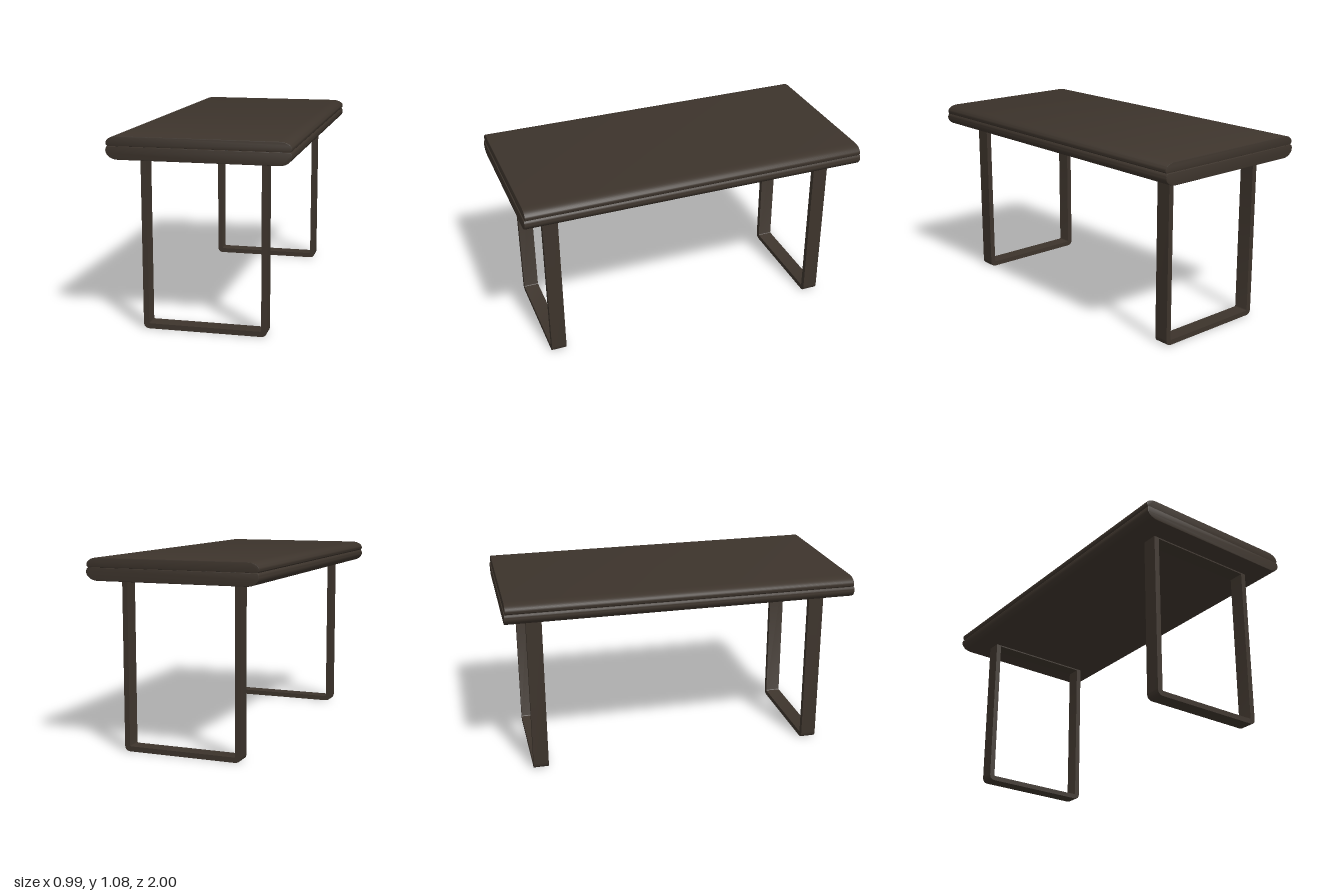
import * as THREE from 'three';
import { toCreasedNormals } from 'three/addons/utils/BufferGeometryUtils.js';

const darkWood = new THREE.MeshStandardMaterial({ color: 0x3d342c });
darkWood.name = 'darkWood';

// Extrude an outline along z, centred on z
function extruded(name, shape, length, z, bevel) {
  const geometry = new THREE.ExtrudeGeometry(shape, {
    depth: length - 2 * bevel, curveSegments: 10,
    bevelEnabled: bevel > 0, bevelSize: bevel, bevelThickness: bevel,
    bevelOffset: -bevel, bevelSegments: 2,
  });
  geometry.translate(0, 0, z - length / 2 + bevel);
  const mesh = new THREE.Mesh(toCreasedNormals(geometry, 0.6), darkWood);
  mesh.name = name;
  return mesh;
}

// Slab outline: flat face at yFlat, bulging sides widest at yWide, seam at ySeam
function slabShape(yFlat, yWide, ySeam) {
  const flat = 0.425, wide = 0.493, seam = 0.483;
  const shape = new THREE.Shape();
  shape.moveTo(-flat, yFlat);
  shape.lineTo(flat, yFlat);
  shape.bezierCurveTo(flat + 0.04, yFlat, wide, yWide + (yFlat - yWide) * 0.5, wide, yWide);
  shape.quadraticCurveTo(wide, ySeam + (yWide - ySeam) * 0.3, seam, ySeam);
  shape.lineTo(-seam, ySeam);
  shape.quadraticCurveTo(-wide, ySeam + (yWide - ySeam) * 0.3, -wide, yWide);
  shape.bezierCurveTo(-wide, yWide + (yFlat - yWide) * 0.5, -flat - 0.04, yFlat, -flat, yFlat);
  return shape;
}

// Rectangle with rounded lower corners
function roundedFrame(path, halfWidth, bottom, top, r) {
  path.moveTo(-halfWidth, top);
  path.lineTo(-halfWidth, bottom + r);
  path.quadraticCurveTo(-halfWidth, bottom, -halfWidth + r, bottom);
  path.lineTo(halfWidth - r, bottom);
  path.quadraticCurveTo(halfWidth, bottom, halfWidth, bottom + r);
  path.lineTo(halfWidth, top);
  path.closePath();
  return path;
}

export function createModel() {
  const table = new THREE.Group();
  table.name = 'table';

  // Two-layer tabletop with a seam between the layers
  table.add(extruded('lowerTop', slabShape(0.953, 1.0, 1.023), 2, 0, 0.003));
  table.add(extruded('upperTop', slabShape(1.077, 1.04, 1.023), 1.99, 0, 0.003));

  // Closed loop legs of flat bar, one near each end
  for (const side of [1, -1]) {
    const loop = roundedFrame(new THREE.Shape(), 0.344, 0, 0.96, 0.035);
    loop.holes.push(roundedFrame(new THREE.Path(), 0.313, 0.029, 0.945, 0.008));
    table.add(extruded(side > 0 ? 'frontLeg' : 'backLeg', loop, 0.088, side * 0.83, 0));
  }
  return table;
}
